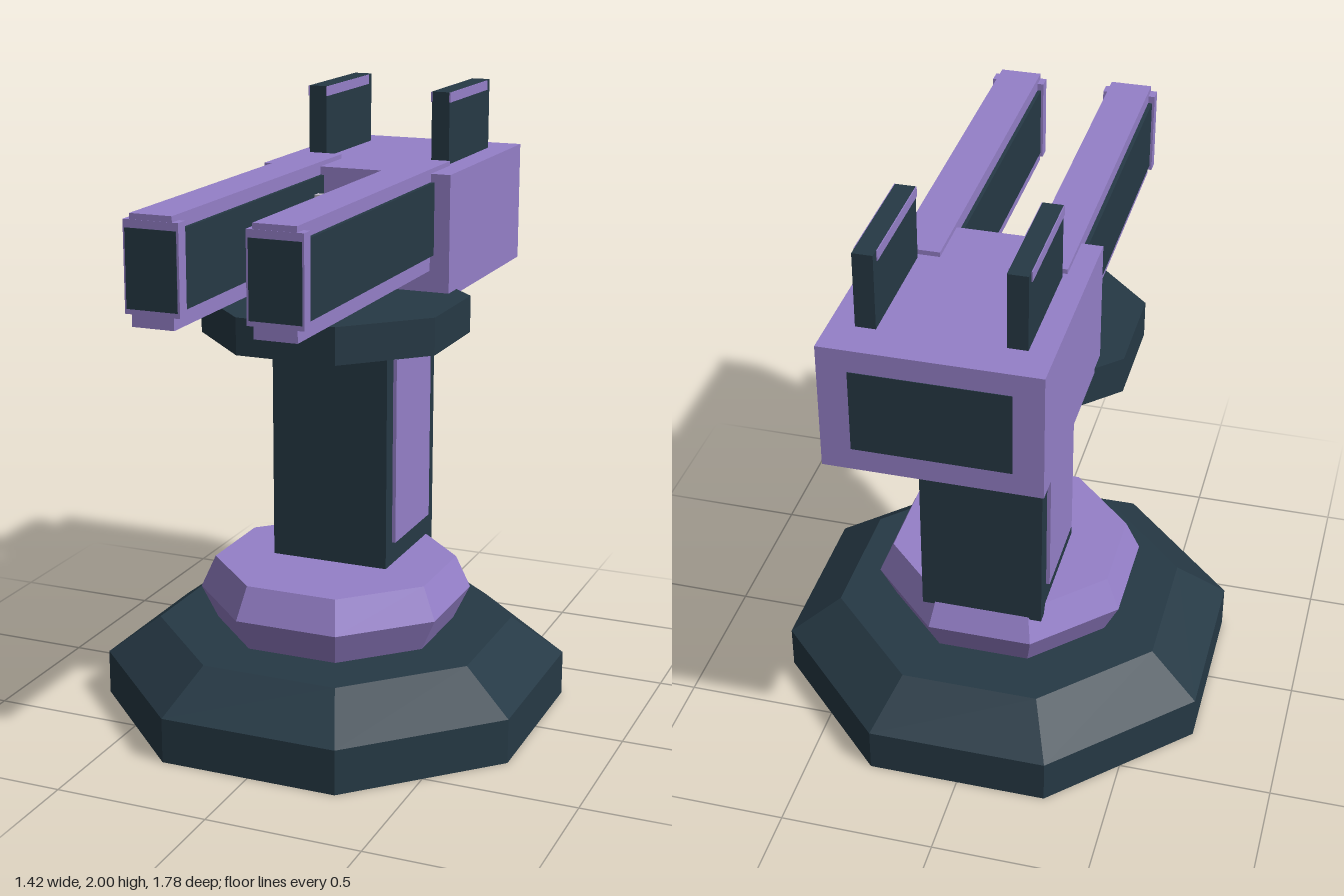
import * as THREE from 'three';

const mat = (name, color) => {
  const m = new THREE.MeshStandardMaterial({ color });
  m.name = name;
  return m;
};

export function createModel() {
  const model = new THREE.Group();
  model.name = 'turret';
  const dark = mat('dark slate', 0x263945);
  const purple = mat('purple', 0x9580c9);
  const grey = mat('light grey', 0xbdb5c4);

  const add = (name, geometry, material) => {
    const mesh = new THREE.Mesh(geometry, material);
    mesh.name = name;
    model.add(mesh);
    return mesh;
  };

  // Box given by its extents on each axis
  const box = (name, material, [x0, x1], [y0, y1], [z0, z1]) => {
    const g = new THREE.BoxGeometry(x1 - x0, y1 - y0, z1 - z0);
    g.translate((x0 + x1) / 2, (y0 + y1) / 2, (z0 + z1) / 2);
    return add(name, g, material);
  };

  // Octagonal ring, flats facing the axes; radii measured to the flats
  const octagon = (name, material, rBottom, rTop, y0, y1, open = false) => {
    const k = 1 / Math.cos(Math.PI / 8);
    let g = new THREE.CylinderGeometry(rTop * k, rBottom * k, y1 - y0, 8, 1, open);
    g.rotateY(Math.PI / 8);
    g.translate(0, (y0 + y1) / 2, 0);
    g = g.toNonIndexed();
    g.computeVertexNormals();
    return add(name, g, material);
  };

  // Pedestal
  octagon('baseFoot', dark, 0.708, 0.708, 0, 0.148);
  octagon('baseSlope', dark, 0.708, 0.545, 0.148, 0.275);
  octagon('collarLower', purple, 0.365, 0.415, 0.275, 0.385);
  octagon('collarUpper', purple, 0.415, 0.37, 0.385, 0.492);

  // Column with side panels
  box('column', dark, [-0.2, 0.2], [0.46, 1.27], [-0.38, 0.055]);
  octagon('turntable', dark, 0.4, 0.4, 1.26, 1.38);

  // Head with rear panel
  box('head', purple, [-0.325, 0.325], [1.365, 1.765], [-0.888, -0.165]);
  box('rearPanel', dark, [-0.235, 0.235], [1.435, 1.695], [-0.89, -0.885]);
  box('bridge', grey, [-0.12, 0.12], [1.45, 1.685], [-0.12, -0.087]);

  // Mirrored parts
  for (const s of [1, -1]) {
    const side = s > 0 ? 'left' : 'right';
    const span = (a, b) => (s > 0 ? [a, b] : [-b, -a]);

    box(side + 'ColumnPanel', purple, span(0.195, 0.212), [0.567, 1.187], [-0.315, 0]);

    // Barrel: dark core between purple rails, closed by a muzzle frame
    box(side + 'BarrelCore', dark, span(0.112, 0.272), [1.502, 1.738], [-0.3, 0.85]);
    box(side + 'TopRail', purple, span(0.124, 0.259), [1.735, 1.78], [-0.345, 0.887]);
    box(side + 'BottomRail', purple, span(0.124, 0.259), [1.45, 1.505], [-0.3, 0.887]);
    box(side + 'MuzzleFrame', purple, span(0.104, 0.28), [1.487, 1.762], [0.845, 0.888]);
    box(side + 'Muzzle', dark, span(0.111, 0.274), [1.502, 1.738], [0.885, 0.89]);

    // Fin with stripes along its upper edge
    box(side + 'Fin', dark, span(0.187, 0.248), [1.75, 2], [-0.765, -0.363]);
    for (const x of [0.184, 0.247]) {
      box(side + 'FinStripe', purple, span(x, x + 0.004), [1.967, 1.999], [-0.735, -0.361]);
    }
  }
  return model;
}
